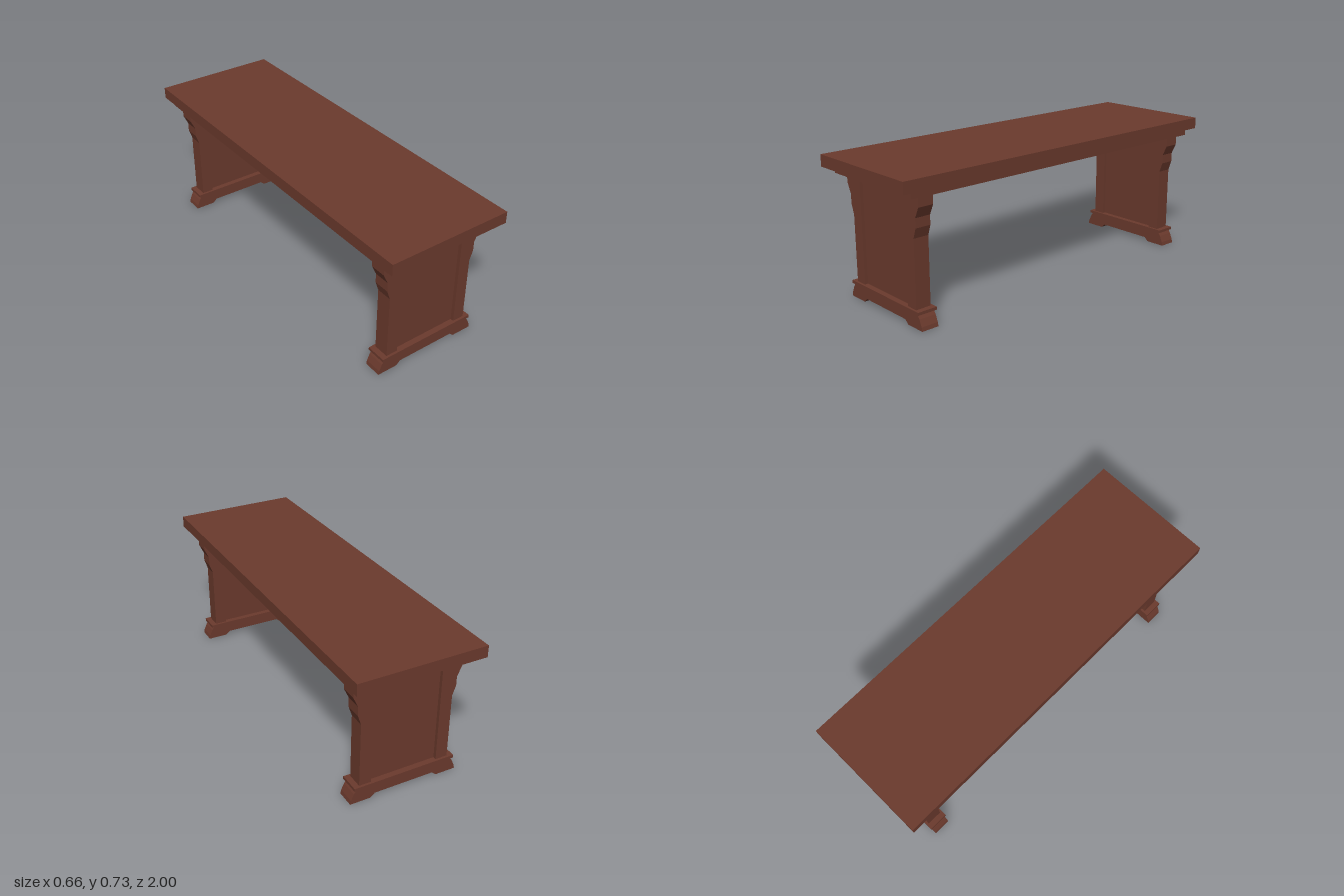
import * as THREE from 'three';

export function createModel() {
  const group = new THREE.Group();
  group.name = 'table';
  const wood = new THREE.MeshStandardMaterial({ color: 0x6b3a2d });
  wood.name = 'reddish brown wood';

  const add = (parent, name, geometry, x, y, z) => {
    const mesh = new THREE.Mesh(geometry, wood);
    mesh.name = name;
    mesh.position.set(x, y, z);
    parent.add(mesh);
  };
  // Box spanning y0 to y1, centred in x and z
  const slab = (parent, name, width, y0, y1, depth) =>
    add(parent, name, new THREE.BoxGeometry(width, y1 - y0, depth), 0, (y0 + y1) / 2, 0);
  // Outline in x and y, extruded evenly about z = 0
  const cutout = (parent, name, points, depth) => {
    const shape = new THREE.Shape(points.map(([x, y]) => new THREE.Vector2(x, y)));
    const geometry = new THREE.ExtrudeGeometry(shape, { depth, bevelEnabled: false });
    add(parent, name, geometry.translate(0, 0, -depth / 2), 0, 0, 0);
  };
  const mirror = (points) => points.map(([x, y]) => [-x, y]).reverse();

  // Top board and the smaller moulding below it
  slab(group, 'tableTop', 0.664, 0.669, 0.729, 2);
  slab(group, 'topMoulding', 0.61, 0.634, 0.669, 1.888);

  // Bracketed post and right half of the foot
  const post = [
    [0.178, 0.089], [0.241, 0.089], [0.241, 0.43], [0.259, 0.482],
    [0.259, 0.53], [0.284, 0.583], [0.284, 0.634], [0.178, 0.634],
  ];
  const halfFoot = [
    [0.158, 0.02], [0.181, 0], [0.289, 0], [0.285, 0.02], [0.27, 0.054], [0.256, 0.074],
  ];

  // A trestle at each end
  for (const side of [1, -1]) {
    const trestle = new THREE.Group();
    trestle.name = side > 0 ? 'frontTrestle' : 'backTrestle';
    trestle.position.z = side * 0.852;
    cutout(trestle, 'foot', [...halfFoot, ...mirror(halfFoot)], 0.091);
    slab(trestle, 'footLedge', 0.542, 0.074, 0.089, 0.106);
    slab(trestle, 'panel', 0.356, 0.089, 0.634, 0.046);
    cutout(trestle, 'leftPost', post, 0.081);
    cutout(trestle, 'rightPost', mirror(post), 0.081);
    group.add(trestle);
  }
  return group;
}
